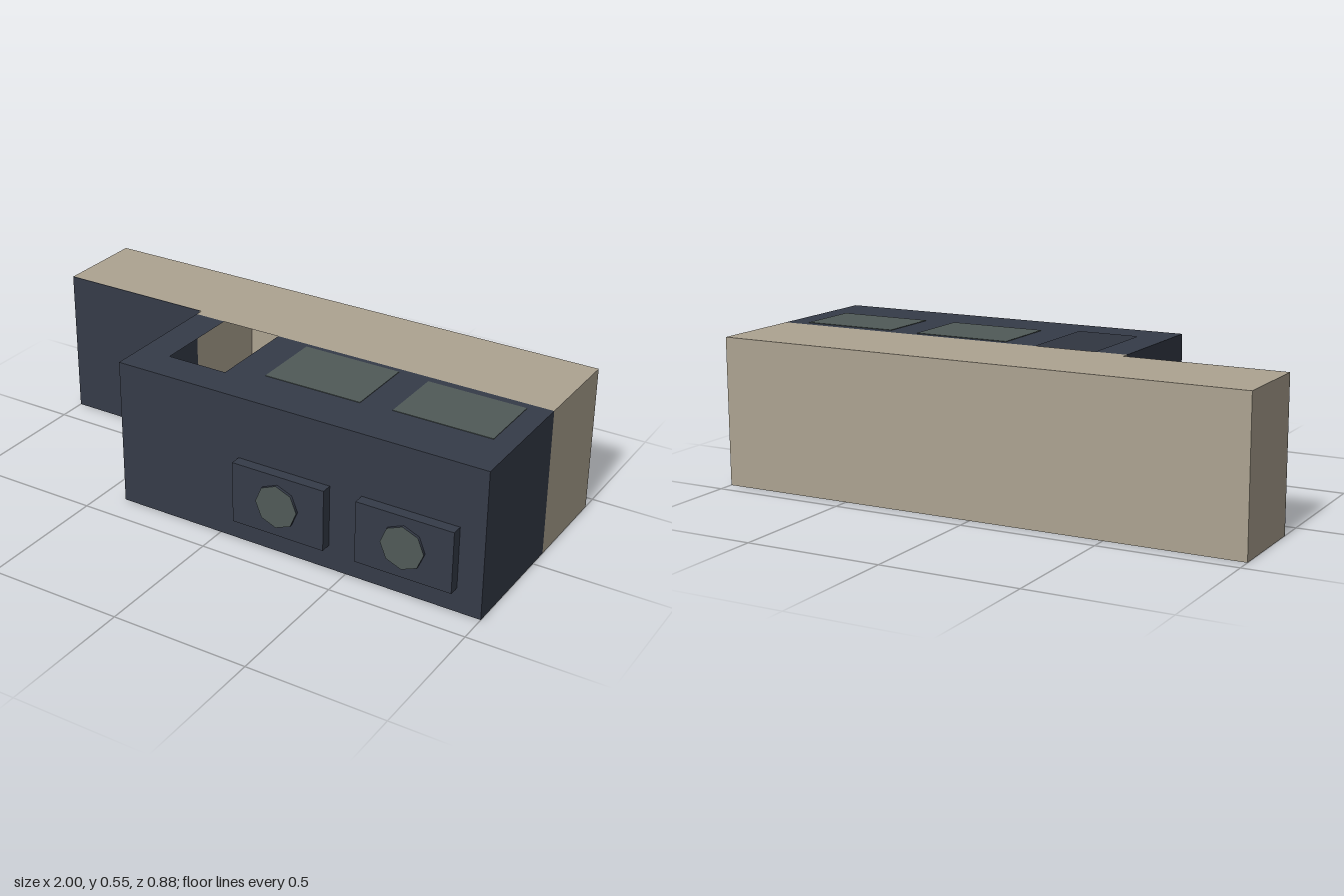
import * as THREE from 'three';

const mat = (name, color) => new THREE.MeshStandardMaterial({ name, color, side: THREE.DoubleSide });

// Open box: keeps only the listed sides (0 +x, 1 -x, 2 +y, 3 -y, 4 +z, 5 -z)
function openBox([x0, x1], [y0, y1], [z0, z1], sides) {
  const g = new THREE.BoxGeometry(x1 - x0, y1 - y0, z1 - z0);
  const index = Array.from(g.index.array);
  g.setIndex(sides.flatMap((s) => index.slice(s * 6, s * 6 + 6)));
  g.clearGroups();
  return g.translate((x0 + x1) / 2, (y0 + y1) / 2, (z0 + z1) / 2);
}

export function createModel() {
  const group = new THREE.Group();
  const tan = mat('tan wall', 0xada391);
  const slate = mat('dark slate', 0x353b48);
  const glass = mat('grey green glass', 0x505a58);
  const add = (name, geometry, material) => {
    const mesh = new THREE.Mesh(geometry, material);
    mesh.name = name;
    group.add(mesh);
    return mesh;
  };
  const H = 0.546, X0 = -0.41, SEAM = -0.077, FRONT = 0.39, BACK = -0.44;
  const all = [0, 1, 2, 3, 4, 5];

  // Hollow main block: tan rear half and slate front half share one interior
  add('rearBody', openBox([X0, 1], [0, H], [BACK, SEAM], [0, 1, 2, 3, 5]), tan);
  add('frontBody', openBox([X0, 1], [0, H], [SEAM, FRONT], [0, 1, 3, 4]), slate);

  // Slate roof with an open hatch (shape y becomes -z)
  const roof = new THREE.Shape();
  roof.moveTo(X0, -FRONT).lineTo(1, -FRONT).lineTo(1, -SEAM).lineTo(X0, -SEAM).closePath();
  const hatch = new THREE.Path();
  hatch.moveTo(-0.29, -0.26).lineTo(-0.29, 0.076).lineTo(-0.06, 0.076).lineTo(-0.06, -0.26).closePath();
  roof.holes.push(hatch);
  add('frontRoof', new THREE.ShapeGeometry(roof).rotateX(-Math.PI / 2).translate(0, H, 0), slate);

  // Narrower side wing with a slate front
  add('sideWing', openBox([-1, X0], [0, H], [BACK, -0.108], all), tan);
  add('sideWingFront', openBox([-1, -0.419], [0, H], [-0.108, -0.106], all), slate);

  // Roof windows
  for (const [x0, x1, z0, z1] of [[0.07, 0.438, -0.055, 0.21], [0.555, 0.918, -0.045, 0.2]]) {
    add('roofWindow', openBox([x0, x1], [H, H + 0.002], [z0, z1], all), glass);
  }

  // Front panels with octagonal portholes
  for (const x of [0.256, 0.732]) {
    add('frontPanel', openBox([x - 0.178, x + 0.178], [0.09, 0.318], [FRONT, 0.43], all), slate);
    const port = new THREE.CylinderGeometry(0.08, 0.08, 0.01, 8).rotateX(Math.PI / 2);
    add('porthole', port.translate(x, 0.206, 0.435), [slate, glass, slate]);
  }
  return group;
}
